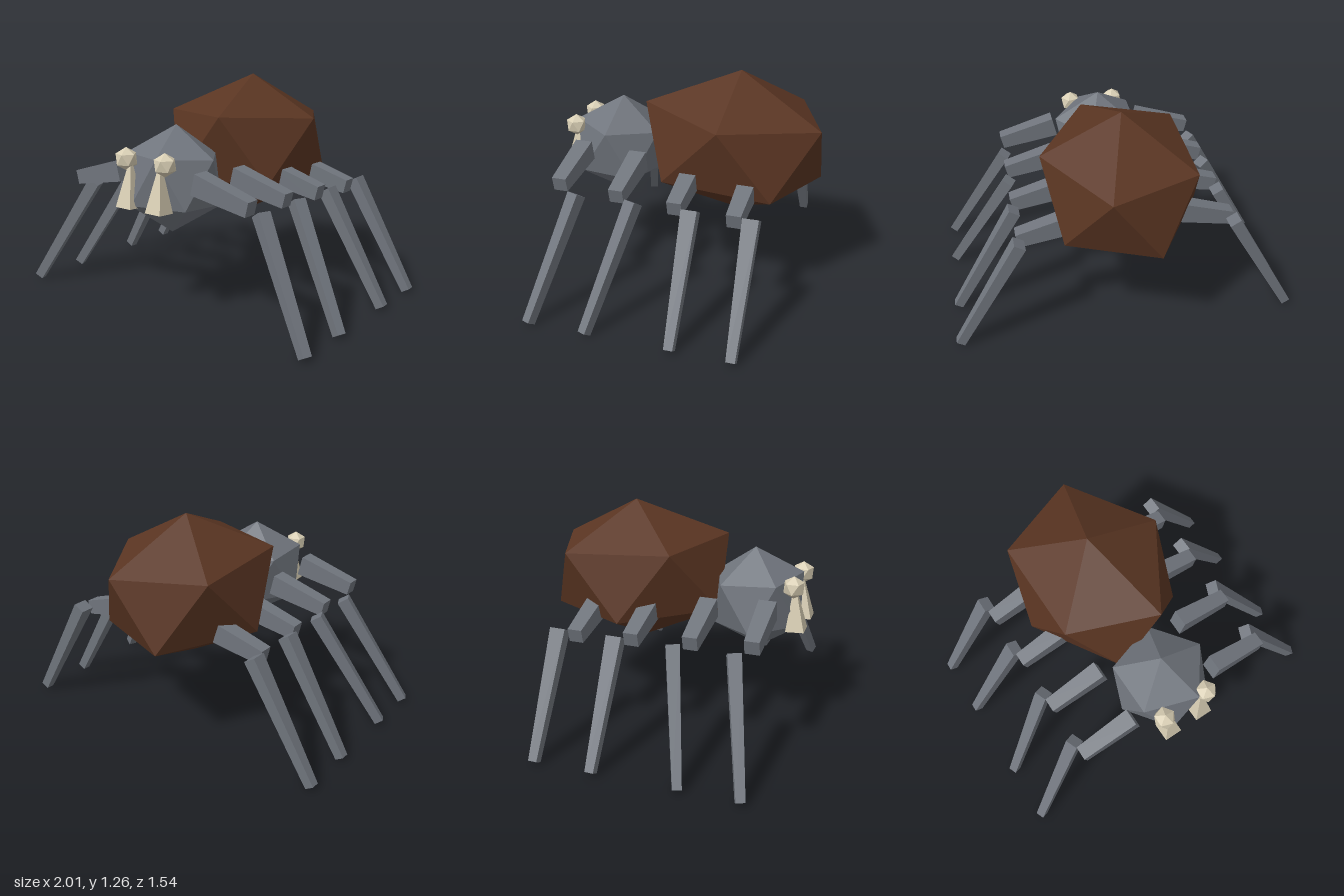
import * as THREE from 'three';
import { ConvexGeometry } from 'three/addons/geometries/ConvexGeometry.js';

const TILT = -0.075; // the whole body leans slightly nose-up

function material(name, color) {
  const m = new THREE.MeshStandardMaterial({ color });
  m.name = name;
  return m;
}

// Icosahedron standing on a vertex, stretched to the given radii
function blob(rx, ry, rz, tilt) {
  const points = [new THREE.Vector3(0, ry, 0), new THREE.Vector3(0, -ry, 0)];
  const ring = 2 / Math.sqrt(5), h = 1 / Math.sqrt(5);
  for (let k = 0; k < 5; k++) {
    const a = (k * Math.PI * 2) / 5;
    const p = new THREE.Vector3(Math.cos(a) * ring * rx, h * ry, Math.sin(a) * ring * rz);
    points.push(p, p.clone().negate());
  }
  return new ConvexGeometry(points).rotateX(tilt);
}

// Tapered four-sided bar between two points; sizes are [height, depth]
function bar(from, to, sizeFrom, sizeTo) {
  const a = new THREE.Vector3(...from), b = new THREE.Vector3(...to);
  const dir = b.clone().sub(a);
  const length = dir.length();
  dir.normalize();
  const depth = dir.clone().cross(new THREE.Vector3(0, 1, 0)).normalize();
  const height = dir.clone().cross(depth);
  const g = new THREE.BoxGeometry(1, length, 1);
  const pos = g.attributes.position;
  for (let i = 0; i < pos.count; i++) {
    const s = pos.getY(i) < 0 ? sizeFrom : sizeTo;
    pos.setX(i, pos.getX(i) * s[0]);
    pos.setZ(i, pos.getZ(i) * s[1]);
  }
  const m = new THREE.Matrix4().makeBasis(height, dir, depth);
  m.setPosition(a.add(b).multiplyScalar(0.5));
  g.applyMatrix4(m);
  g.computeVertexNormals();
  return g;
}

export function createModel() {
  const model = new THREE.Group();
  model.name = 'spider';
  const brown = material('brown', 0x5a3522);
  const grey = material('grey', 0x70757d);
  const cream = material('cream', 0xd8ceb4);

  function add(name, geometry, mat, x = 0, y = 0, z = 0) {
    const mesh = new THREE.Mesh(geometry, mat);
    mesh.name = name;
    mesh.position.set(x, y, z);
    model.add(mesh);
  }

  // Body
  add('abdomen', blob(0.5, 0.423, 0.6, TILT), brown, 0, 0.843, -0.25);
  add('head', blob(0.3, 0.302, 0.3, TILT), grey, 0, 0.745, 0.466);

  // Legs, front to back: z of the upper segment, then z of knee and foot
  const legs = [
    { upper: 0.585, knee: 0.49, foot: 0.64 },
    { upper: 0.25, knee: 0.152, foot: 0.305 },
    { upper: -0.085, knee: -0.175, foot: -0.18 },
    { upper: -0.415, knee: -0.51, foot: -0.515 },
  ];

  for (const s of [1, -1]) {
    const side = s > 0 ? 'left' : 'right';

    // Eyes and fangs
    add(side + 'Eye', blob(0.065, 0.065, 0.065, 0), cream, s * 0.138, 0.877, 0.697);
    add(side + 'Fang',
      bar([s * 0.106, 0.617, 0.716], [s * 0.106, 0.88, 0.697], [0.105, 0.105], [0.008, 0.008]),
      cream);

    legs.forEach((leg, i) => {
      const drop = (leg.upper - 0.585) * 0.075;
      add(side + 'UpperLeg' + (i + 1),
        bar([s * 0.268, 0.78 + drop, leg.upper], [s * 0.608, 0.697 + drop, leg.upper],
          [0.12, 0.1], [0.082, 0.082]),
        grey);
      add(side + 'LowerLeg' + (i + 1),
        bar([s * 0.602, 0.648, leg.knee], [s * 0.974, 0.016, leg.foot],
          [0.07, i < 2 ? 0.075 : 0.09], [0.052, 0.05]),
        grey);
    });
  }
  return model;
}
